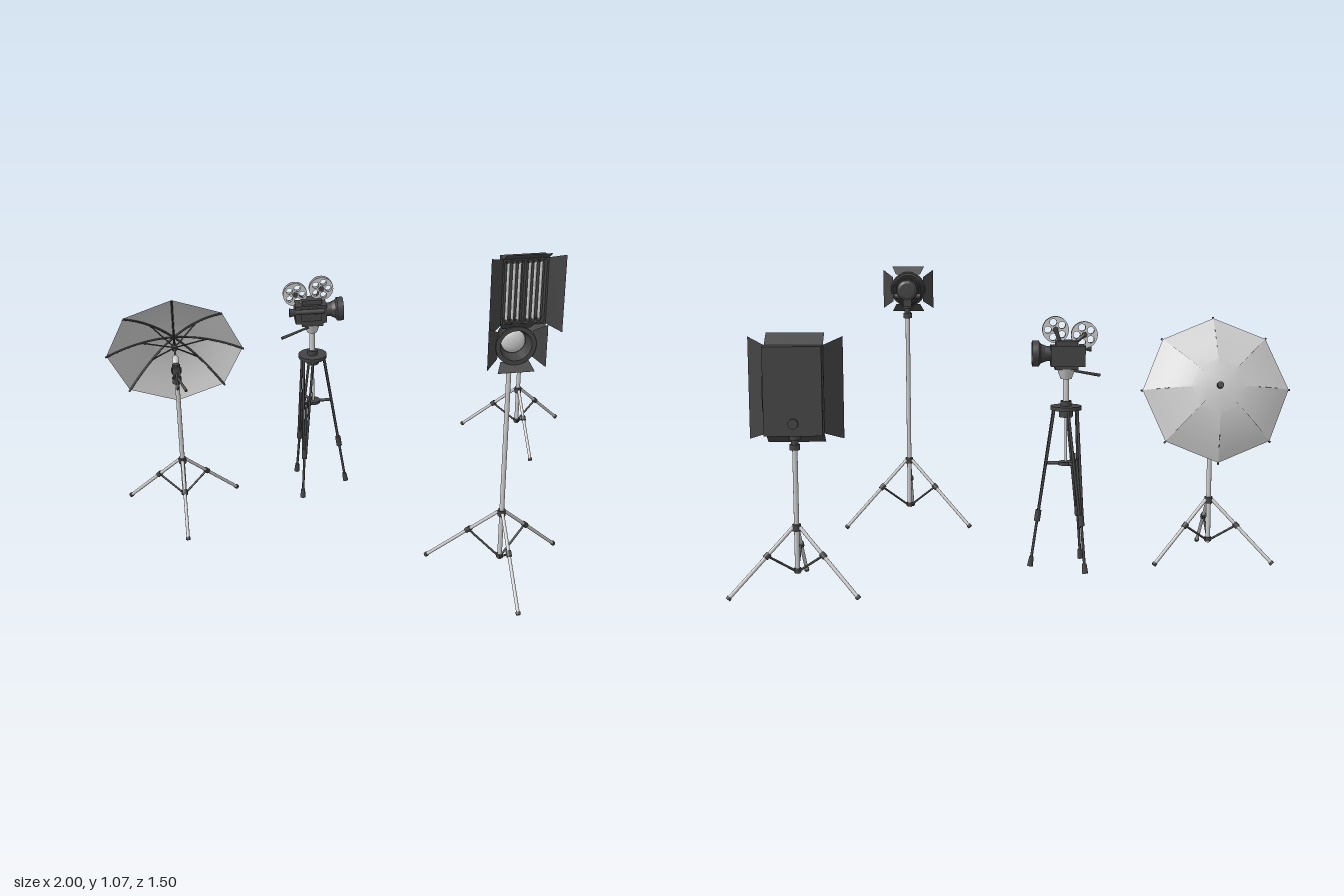
import * as THREE from 'three';
import { toCreasedNormals } from 'three/addons/utils/BufferGeometryUtils.js';

const mat = (color, side = THREE.FrontSide) => new THREE.MeshStandardMaterial({ color, side });
const light = mat(0xcccccc);
const dark = mat(0x444444);
const darkSheet = mat(0x444444, THREE.DoubleSide);
const cloth = mat(0xcccccc, THREE.DoubleSide);
const V = (x, y, z) => new THREE.Vector3(x, y, z);

function add(parent, name, geo, material, x = 0, y = 0, z = 0) {
  const m = new THREE.Mesh(geo, material);
  m.name = name;
  m.position.set(x, y, z);
  parent.add(m);
  return m;
}
function group(parent, name, x = 0, y = 0, z = 0) {
  const g = new THREE.Group();
  g.name = name;
  g.position.set(x, y, z);
  parent.add(g);
  return g;
}
// Cylinder running from a (radius ra) to b (radius rb)
function rod(parent, name, a, b, ra, material, rb = ra, seg = 12) {
  const d = b.clone().sub(a);
  const m = add(parent, name, new THREE.CylinderGeometry(rb, ra, d.length(), seg), material);
  m.position.copy(a).addScaledVector(d, 0.5);
  m.quaternion.setFromUnitVectors(V(0, 1, 0), d.normalize());
  return m;
}
const box = (p, name, w, h, d, x, y, z, m = dark) => add(p, name, new THREE.BoxGeometry(w, h, d), m, x, y, z);
const polar = (r, y, a) => V(r * Math.cos(a), y, r * Math.sin(a));

// Light stand: column, three braced legs, one leg to the front
function lightStand(parent, reach, legTop, height) {
  const s = group(parent, 'lightStand');
  rod(s, 'column', V(0, 0.065, 0), V(0, height, 0), 0.009, light);
  rod(s, 'legCollar', V(0, legTop - 0.014, 0), V(0, legTop + 0.01, 0), 0.015, dark);
  rod(s, 'braceCollar', V(0, 0.07, 0), V(0, 0.085, 0), 0.013, dark);
  for (let i = 0; i < 3; i++) {
    const a = Math.PI / 2 + i * Math.PI * 2 / 3;
    const top = polar(0.014, legTop, a), foot = polar(reach, 0.01, a);
    const mid = top.clone().lerp(foot, 0.4);
    rod(s, 'leg', top, foot, 0.0065, light);
    rod(s, 'brace', polar(0.012, 0.078, a), mid, 0.004, dark);
    rod(s, 'legClamp', top.clone().lerp(foot, 0.37), top.clone().lerp(foot, 0.43), 0.0105, dark);
    rod(s, 'footTip', top.clone().lerp(foot, 0.97), foot, 0.009, dark);
  }
  return s;
}
// Collars joining the column to a lamp head
function mountCollars(parent, y0, y1) {
  const h = y1 - y0;
  rod(parent, 'mountPost', V(0, y0, 0), V(0, y1, 0), 0.013, dark);
  rod(parent, 'lowerCollar', V(0, y0, 0), V(0, y0 + h * 0.3, 0), 0.018, dark);
  rod(parent, 'upperCollar', V(0, y0 + h * 0.55, 0), V(0, y0 + h * 0.8, 0), 0.02, dark);
}
// Trapezoid flap from a hinge edge to a free edge, turned by angle about z
function flap(parent, angle, hingeHalf, freeHalf, r0, z0, r1, z1, cy) {
  const p = [[-hingeHalf, r0, z0], [hingeHalf, r0, z0], [freeHalf, r1, z1], [-freeHalf, r1, z1]];
  const geo = new THREE.BufferGeometry();
  geo.setAttribute('position', new THREE.Float32BufferAttribute(p.flat(), 3));
  geo.setIndex([0, 1, 2, 0, 2, 3]);
  geo.computeVertexNormals();
  add(parent, 'barnDoor', geo, darkSheet, 0, cy, 0).rotation.z = angle;
}

function umbrellaLight(root) {
  const g = group(root, 'umbrellaLight', -0.727, 0, -0.204);
  lightStand(g, 0.255, 0.23, 0.6);
  mountCollars(g, 0.575, 0.655);
  box(g, 'tiltBracket', 0.03, 0.04, 0.035, 0, 0.628, 0);
  rod(g, 'tiltHandle', V(0, 0.605, 0), V(0.032, 0.58, 0.088), 0.004, dark, 0.006);
  const bulb = add(g, 'bulb', new THREE.SphereGeometry(0.014, 16, 12), light, 0, 0.655, -0.035);
  bulb.scale.z = 2.1;
  bulb.rotation.x = 0.31;

  // Canopy opens forward and slightly down
  const u = group(g, 'umbrella', 0, 0.66, -0.105);
  u.rotation.x = -1.26;
  const R = 0.268, H = 0.092, N = 8;
  const rise = t => H * (1 - Math.pow(t, 1.9));
  const profile = [];
  for (let i = 0; i <= N; i++) profile.push(new THREE.Vector2(R * (1 - i / N), rise(1 - i / N)));
  add(u, 'canopy', toCreasedNormals(new THREE.LatheGeometry(profile, 8), 0.2), cloth);
  rod(u, 'shaft', V(0, -0.215, 0), V(0, 0.1, 0), 0.0045, dark);
  rod(u, 'canopyTip', V(0, 0.085, 0), V(0, 0.108, 0), 0.012, dark);
  rod(u, 'runner', V(0, 0.015, 0), V(0, 0.04, 0), 0.011, dark);
  for (let i = 0; i < 8; i++) {
    const a = i * Math.PI / 4;
    const pts = [0, 0.25, 0.5, 0.75, 1.02].map(t => polar(R * t, rise(t) - 0.004, a));
    add(u, 'rib', new THREE.TubeGeometry(new THREE.CatmullRomCurve3(pts), 12, 0.0038, 6), dark);
    rod(u, 'stretcher', polar(0.008, 0.028, a), polar(R * 0.48, rise(0.48) - 0.005, a), 0.0028, dark, 0.0028, 6);
  }
}

function spotlight(root) {
  const g = group(root, 'spotlight', 0.43, 0, 0.45);
  lightStand(g, 0.295, 0.267, 0.88);
  mountCollars(g, 0.865, 0.935);
  box(g, 'yoke', 0.035, 0.085, 0.04, 0, 0.955, -0.008);
  const knob = rod(g, 'tiltKnob', V(-0.055, 0.955, -0.005), V(0.055, 0.955, -0.005), 0.013, dark);
  knob.scale.x = 0.9;
  // Flared ribbed barrel around a recessed lens
  const pts = [[0, -0.036], [0.03, -0.035], [0.041, -0.028], [0.044, -0.005], [0.048, -0.005], [0.049, 0.012],
    [0.053, 0.012], [0.056, 0.034], [0.06, 0.034], [0.066, 0.07], [0.072, 0.07], [0.072, 0.078],
    [0.056, 0.078], [0.045, 0.035], [0, 0.035]].map(p => new THREE.Vector2(...p));
  add(g, 'barrel', toCreasedNormals(new THREE.LatheGeometry(pts, 32), 0.5), darkSheet, 0, 0.98, 0).rotation.x = Math.PI / 2;
  const lens = add(g, 'lens', new THREE.SphereGeometry(0.043, 24, 16), light, 0, 0.98, 0.035);
  lens.scale.z = 0.45;
  for (let i = 0; i < 4; i++) {
    const side = i % 2;
    flap(g, i * Math.PI / 2, 0.05, side ? 0.08 : 0.066, 0.062, 0.066, side ? 0.104 : 0.093, 0.096, 0.98);
  }
}

function panelLight(root) {
  const g = group(root, 'panelLight', 0.77, 0, -0.615);
  lightStand(g, 0.255, 0.23, 0.51);
  mountCollars(g, 0.5, 0.565);
  const cy = 0.705, w = 0.2, h = 0.305;
  // Open-front housing
  box(g, 'backPanel', w, h, 0.025, 0, cy, -0.023);
  for (const s of [-1, 1]) {
    box(g, 'sideWall', 0.008, h, 0.058, s * (w / 2 - 0.004), cy, -0.006);
    box(g, 'endWall', w, 0.008, 0.058, 0, cy + s * (h / 2 - 0.004), -0.006);
    box(g, 'sideRail', 0.006, 0.12, 0.008, s * (w / 2 + 0.002), cy - 0.01, -0.015);
    flap(g, -s * Math.PI / 2, h / 2, 0.178, w / 2, 0.022, 0.163, 0.072, cy);
    flap(g, s > 0 ? 0 : Math.PI, w / 2, w / 2, h / 2, 0.022, 0.19, 0.074, cy);
    for (const x of [0.022, 0.046, 0.072]) {
      rod(g, 'lampTube', V(s * x, cy - 0.13, 0.006), V(s * x, cy + 0.13, 0.006), 0.007, light);
      for (const e of [-1, 1]) box(g, 'tubeSocket', 0.018, 0.016, 0.02, s * x, cy + e * 0.136, 0.002);
    }
  }
  box(g, 'centreDivider', 0.012, h - 0.016, 0.03, 0, cy, 0);
  rod(g, 'rearKnob', V(0, 0.595, -0.034), V(0, 0.595, -0.046), 0.018, dark);
}

// Film reel: two pierced flanges on a hub, facing z
function reel(parent, x, y, z) {
  const g = group(parent, 'filmReel', x, y, z);
  const disc = new THREE.Shape().absarc(0, 0, 0.048, 0, Math.PI * 2);
  for (let i = 0; i < 5; i++) {
    const a = i * Math.PI * 2 / 5;
    disc.holes.push(new THREE.Path().absarc(0.028 * Math.cos(a), 0.028 * Math.sin(a), 0.0125, 0, Math.PI * 2, true));
  }
  const geo = new THREE.ExtrudeGeometry(disc, { depth: 0.002, bevelEnabled: false, curveSegments: 24 });
  for (const s of [-0.01, 0.008]) add(g, 'reelFlange', geo, light, 0, 0, s);
  rod(g, 'reelHub', V(0, 0, -0.012), V(0, 0, 0.013), 0.011, dark);
}

function filmCamera(root) {
  const g = group(root, 'filmCamera', -0.178, 0, -0.322);
  // Tripod with twin-rod upper legs
  const t = group(g, 'tripod');
  rod(t, 'topPlate', V(0, 0.592, 0), V(0, 0.606, 0), 0.057, dark, 0.057, 24);
  rod(t, 'plateHub', V(0, 0.565, 0), V(0, 0.592, 0), 0.025, dark);
  rod(t, 'centreColumn', V(0, 0.39, 0), V(0, 0.6, 0), 0.005, light);
  rod(t, 'spreaderPlate', V(0, 0.388, 0), V(0, 0.4, 0), 0.028, dark);
  for (let i = 0; i < 3; i++) {
    const a = i * Math.PI * 2 / 3;
    const top = polar(0.044, 0.595, a), foot = polar(0.13, 0.008, a);
    const side = V(-Math.sin(a), 0, Math.cos(a));
    const knee = top.clone().lerp(foot, 0.68);
    for (const s of [-1, 1])
      rod(t, 'upperLegRod', top.clone().addScaledVector(side, s * 0.02), knee.clone().addScaledVector(side, s * 0.006), 0.005, dark);
    rod(t, 'lowerLeg', top.clone().lerp(foot, 0.3), foot, 0.005, dark);
    rod(t, 'legClamp', top.clone().lerp(foot, 0.64), top.clone().lerp(foot, 0.71), 0.011, dark);
    rod(t, 'foot', top.clone().lerp(foot, 0.94), foot, 0.008, dark, 0.011);
    rod(t, 'spreaderArm', V(0, 0.394, 0), top.clone().lerp(foot, 0.34), 0.006, dark);
  }
  // Pan head and handle
  rod(g, 'headColumn', V(0, 0.6, 0), V(0, 0.715, 0), 0.011, light);
  rod(g, 'headCollar', V(0, 0.606, 0), V(0, 0.625, 0), 0.02, dark);
  rod(g, 'panHead', V(0, 0.705, 0), V(0, 0.742, 0), 0.02, light, 0.034, 20);
  box(g, 'mountPlate', 0.085, 0.014, 0.06, 0, 0.747, 0);
  rod(g, 'panHandle', V(-0.01, 0.735, 0.02), V(-0.128, 0.71, 0.06), 0.004, dark, 0.006);
  // Body, magazine bridge and reels
  box(g, 'cameraBody', 0.125, 0.075, 0.07, -0.005, 0.79, -0.005);
  box(g, 'bodyTop', 0.08, 0.022, 0.05, 0, 0.835, -0.008);
  box(g, 'doorPanel', 0.08, 0.05, 0.008, -0.005, 0.79, 0.033);
  rod(g, 'rearReelArm', V(-0.02, 0.83, -0.02), V(-0.064, 0.866, -0.02), 0.007, dark);
  rod(g, 'frontReelArm', V(0.02, 0.83, -0.02), V(0.04, 0.885, -0.02), 0.007, dark);
  reel(g, -0.064, 0.866, -0.012);
  reel(g, 0.04, 0.885, -0.012);
  // Lens with flared hood, facing +x
  rod(g, 'lensBarrel', V(0.055, 0.797, 0), V(0.1, 0.797, 0), 0.027, dark, 0.03, 24);
  const hood = [[0.03, 0], [0.036, 0.015], [0.047, 0.022], [0.047, 0.046], [0.04, 0.046], [0.028, 0.02], [0, 0.02]];
  const hoodGeo = new THREE.LatheGeometry(hood.map(p => new THREE.Vector2(...p)), 28);
  add(g, 'lensHood', toCreasedNormals(hoodGeo, 0.5), darkSheet, 0.078, 0.797, 0).rotation.z = -Math.PI / 2;
  const glass = add(g, 'lensGlass', new THREE.SphereGeometry(0.026, 20, 14), light, 0.1, 0.797, 0);
  glass.scale.x = 0.4;
  // Side viewfinder
  rod(g, 'viewfinder', V(-0.08, 0.815, 0.056), V(0.045, 0.815, 0.056), 0.01, dark);
  rod(g, 'eyepiece', V(-0.095, 0.815, 0.056), V(-0.07, 0.815, 0.056), 0.018, dark, 0.012);
  box(g, 'viewfinderBracket', 0.02, 0.015, 0.03, 0.01, 0.81, 0.042);
}

export function createModel() {
  const root = new THREE.Group();
  root.name = 'filmSet';
  umbrellaLight(root);
  filmCamera(root);
  spotlight(root);
  panelLight(root);
  return root;
}
